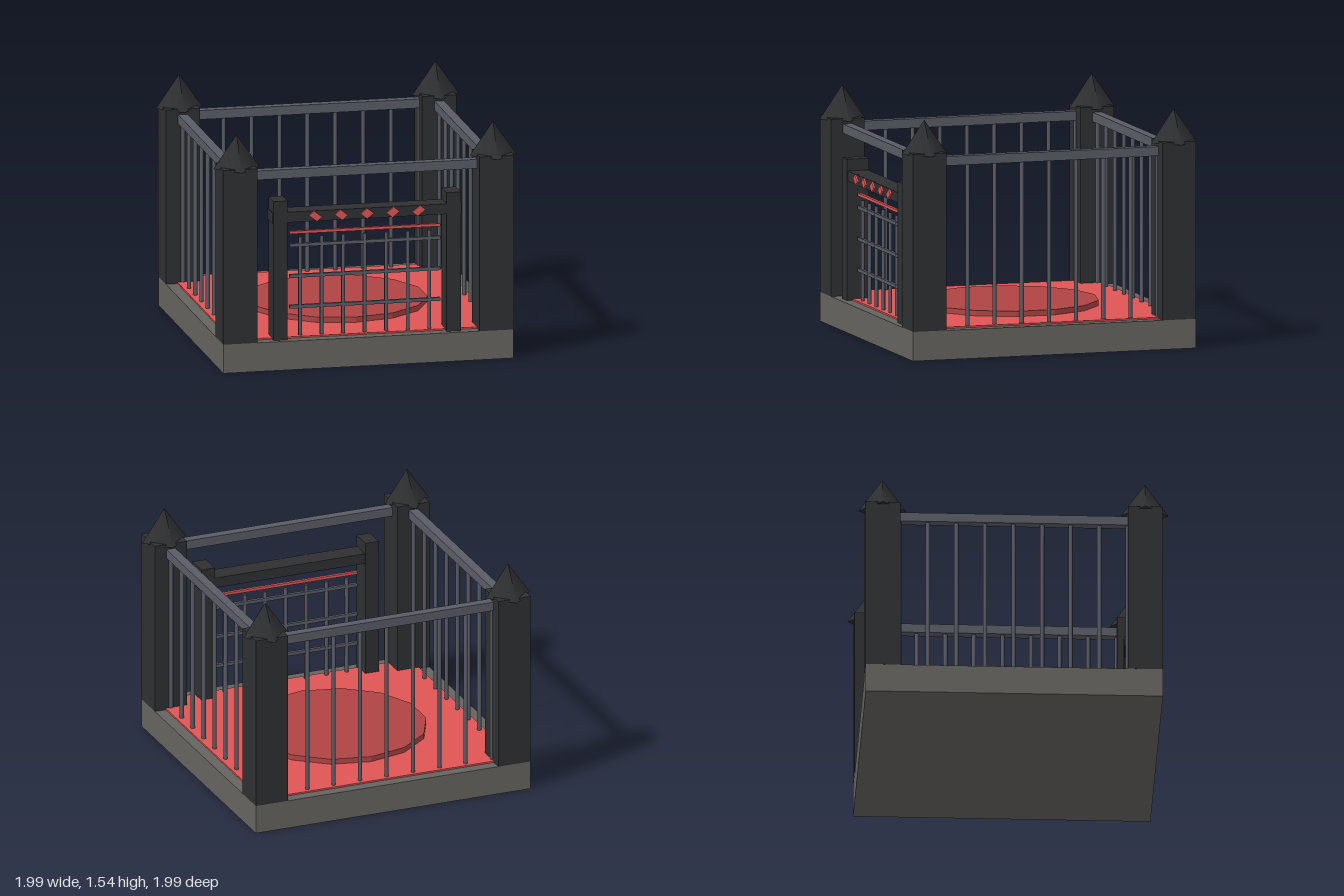
import * as THREE from 'three';

const material = (color, flatShading = false) => new THREE.MeshStandardMaterial({ color, flatShading });

export function createModel() {
  const root = new THREE.Group();
  const stone = material(0x666460);
  const dark = material(0x2f3032);
  const iron = material(0x5a5c66);
  const red = material(0xe05555);
  const deepRed = material(0xb04444, true);

  const add = (parent, name, geometry, mat, x, y, z) => {
    const mesh = new THREE.Mesh(geometry, mat);
    mesh.name = name;
    mesh.position.set(x, y, z);
    parent.add(mesh);
    return mesh;
  };
  const box = (parent, name, mat, w, h, d, x, y, z) =>
    add(parent, name, new THREE.BoxGeometry(w, h, d), mat, x, y, z);
  const group = (name) => {
    const g = new THREE.Group();
    g.name = name;
    root.add(g);
    return g;
  };

  // Plinth, floor covering and low round platform
  box(root, 'base', stone, 1.91, 0.19, 1.91, 0, 0.095, 0);
  box(root, 'floor', red, 1.76, 0.02, 1.76, 0, 0.19, 0);
  add(root, 'roundPlatform', new THREE.CylinderGeometry(0.587, 0.587, 0.04, 14), deepRed, 0, 0.215, 0);

  // Corner pillars with four-sided caps turned 45 degrees to the shaft
  for (const x of [-0.843, 0.843]) {
    for (const z of [-0.843, 0.843]) {
      const pillar = group('cornerPillar');
      box(pillar, 'pillarShaft', dark, 0.225, 1.15, 0.225, x, 0.765, z);
      add(pillar, 'pillarCap', new THREE.ConeGeometry(0.153, 0.22, 4), dark, x, 1.435, z);
    }
  }

  // Fences: top rail on all four sides, bars everywhere but the front
  const fences = [['front', 0], ['left', Math.PI / 2], ['back', Math.PI], ['right', -Math.PI / 2]];
  for (const [side, angle] of fences) {
    const fence = group(side + 'Fence');
    fence.rotation.y = angle;
    box(fence, 'topRail', iron, 1.6, 0.06, 0.062, 0, 1.275, 0.843);
    if (side === 'front') continue;
    for (let i = -4; i <= 4; i++) {
      add(fence, 'fenceBar', new THREE.CylinderGeometry(0.014, 0.014, 1.07, 8), iron, i * 0.1835, 0.725, 0.843);
    }
  }

  // Gate frame
  const gate = group('gate');
  for (const x of [-0.57, 0.57]) {
    box(gate, 'gatePost', dark, 0.094, 0.917, 0.15, x, 0.648, 0.842);
  }
  box(gate, 'gateLintel', dark, 1.245, 0.068, 0.136, 0, 0.997, 0.842);

  // Gate grille
  for (let i = -3; i <= 3; i++) {
    add(gate, 'grilleBar', new THREE.CylinderGeometry(0.013, 0.013, 0.66, 6), iron, i * 0.1415, 0.52, 0.842);
  }
  for (const y of [0.39, 0.592, 0.796]) {
    box(gate, 'grilleCrossbar', iron, 0.99, 0.022, 0.022, 0, y, 0.842);
  }
  box(gate, 'redCrossbar', red, 0.99, 0.018, 0.022, 0, 0.88, 0.842);

  // Row of red lozenges on the lintel, leaning outward from the middle
  for (let i = -2; i <= 2; i++) {
    const lean = -i / 2;
    const lozenge = new THREE.Shape([
      new THREE.Vector2(0.043, -0.006 * lean),
      new THREE.Vector2(-0.01 * lean, 0.035),
      new THREE.Vector2(-0.043, 0.006 * lean),
      new THREE.Vector2(0.01 * lean, -0.035),
    ]);
    const geometry = new THREE.ExtrudeGeometry(lozenge, { depth: 0.03, bevelEnabled: false });
    add(gate, 'lozenge', geometry, red, i * 0.17, 0.997, 0.892);
  }

  return root;
}
